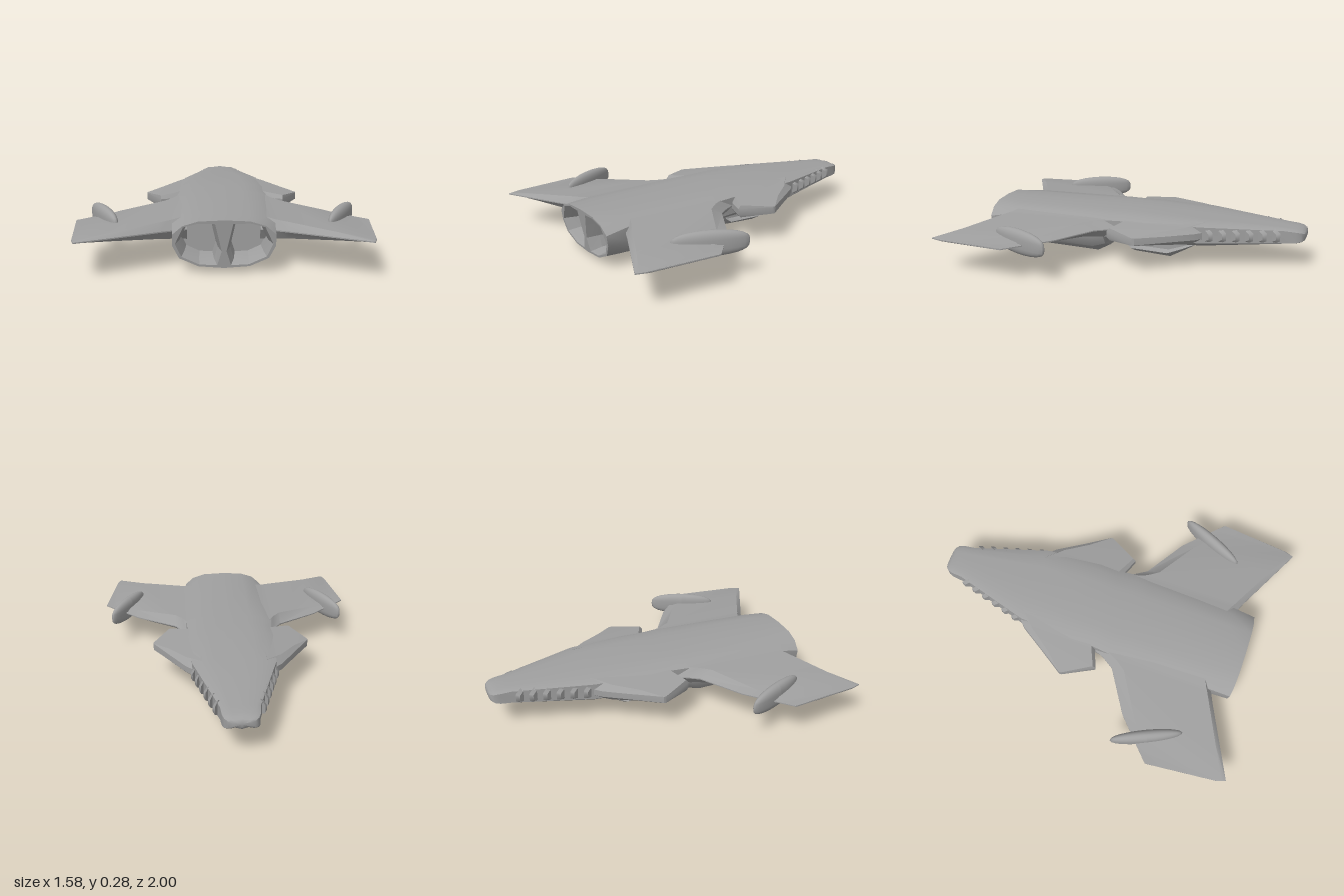
import * as THREE from 'three';
import { toCreasedNormals } from 'three/addons/utils/BufferGeometryUtils.js';

const material = new THREE.MeshStandardMaterial({ color: 0x9f9f9f });

// Skin a row of closed rings; flip turns the faces over.
function loft(rings, { flip = false, startCap = true, endCap = true, crease = 0.5 } = {}) {
  const pos = [];
  const tri = (a, b, c) => pos.push(...a, ...(flip ? c : b), ...(flip ? b : c));
  const n = rings[0].length;
  const centre = (r) => [0, 1, 2].map((k) => r.reduce((sum, p) => sum + p[k], 0) / n);
  for (let i = 0; i < rings.length - 1; i++) {
    for (let j = 0; j < n; j++) {
      const k = (j + 1) % n;
      tri(rings[i][j], rings[i][k], rings[i + 1][k]);
      tri(rings[i][j], rings[i + 1][k], rings[i + 1][j]);
    }
  }
  const first = rings[0], last = rings[rings.length - 1];
  for (let j = 0; j < n; j++) {
    const k = (j + 1) % n;
    if (startCap) tri(centre(first), first[k], first[j]);
    if (endCap) tri(centre(last), last[j], last[k]);
  }
  const g = new THREE.BufferGeometry();
  g.setAttribute('position', new THREE.Float32BufferAttribute(pos, 3));
  return toCreasedNormals(g, crease);
}

// Mirror a half outline, listed from the bottom centre to the top centre.
const mirrored = (half) => [...half, ...half.slice(1, -1).reverse().map(([x, y]) => [-x, y])];

// Hull outline from half width, top, side edge heights and bottom.
const hullOutline = (w, top, edgeTop, edgeBot, bot) => mirrored([
  [0, bot], [0.5 * w, bot + 0.01], [0.87 * w, bot + 0.45 * (edgeBot - bot)], [w, edgeBot],
  [w, edgeTop], [0.8 * w, edgeTop + 0.6 * (top - edgeTop)], [0.5 * w, top - 0.006], [0, top],
]);

// The tail face leans back towards the top.
const tailZ = (y) => 0.875 + (y - 0.15) * 0.12;

// Wing panel from stations [x, lead z, trail z, top, bottom].
function wingPanel(stations, s, edge) {
  const rings = stations.map(([x, lead, trail, top, bot]) => {
    const at = (t) => lead + (trail - lead) * t;
    return [
      [0, 0.2 - edge], [0, 0.2 + edge], [0.12, top], [0.95, top],
      [1, 0.2 + edge], [1, 0.2 - edge], [0.95, bot], [0.12, bot],
    ].map(([t, y]) => [s * x, y, at(t)]);
  });
  return loft(rings, { flip: s < 0 });
}

export function createModel() {
  const model = new THREE.Group();
  const add = (name, geometry) => {
    const mesh = new THREE.Mesh(geometry, material);
    mesh.name = name;
    model.add(mesh);
    return mesh;
  };

  // Hull, nose to tail: z, half width, top, edge top, edge bottom, bottom
  const hull = [
    [-1.0, 0.045, 0.215, 0.208, 0.192, 0.185],
    [-0.993, 0.068, 0.227, 0.216, 0.18, 0.171],
    [-0.975, 0.087, 0.235, 0.222, 0.17, 0.162],
    [-0.945, 0.097, 0.241, 0.227, 0.164, 0.156],
    [-0.88, 0.103, 0.246, 0.232, 0.16, 0.148],
    [-0.43, 0.235, 0.272, 0.25, 0.155, 0.115],
    [-0.1, 0.26, 0.285, 0.25, 0.15, 0.105],
    [0.03, 0.255, 0.285, 0.25, 0.15, 0.103],
    [0.13, 0.265, 0.285, 0.25, 0.15, 0.1],
    [0.15, 0.265, 0.285, 0.25, 0.15, 0.05],
    [0.23, 0.265, 0.285, 0.248, 0.15, 0.006],
    [0.75, 0.265, 0.285, 0.235, 0.15, 0.025],
  ];
  const tail = hullOutline(0.26, 0.285, 0.21, 0.15, 0.03);
  const hullRings = hull.map(([z, ...o]) => hullOutline(...o).map(([x, y]) => [x, y, z]));
  hullRings.push(tail.map(([x, y]) => [x, y, tailZ(y)]));
  add('hull', loft(hullRings, { endCap: false, crease: 0.7 }));

  // Tail plate with two eight-sided openings, leaving a wedge between them
  const opening = [
    [0.246, 0.16], [0.205, 0.248], [0.13, 0.268], [0.045, 0.265],
    [0.012, 0.12], [0.035, 0.045], [0.125, 0.05], [0.215, 0.092],
  ];
  const nozzleRing = (s, scale) => opening.map(([x, y]) => [
    s * (0.133 + (x - 0.133) * scale), 0.155 + (y - 0.155) * scale]);
  const toPoints = (list) => list.map(([x, y]) => new THREE.Vector2(x, y));
  const plate = new THREE.Shape(toPoints(tail));
  for (const s of [1, -1]) plate.holes.push(new THREE.Path(toPoints(nozzleRing(s, 1))));
  const plateGeometry = new THREE.ShapeGeometry(plate);
  const p = plateGeometry.attributes.position;
  for (let i = 0; i < p.count; i++) p.setZ(i, tailZ(p.getY(i)));
  plateGeometry.computeVertexNormals();
  add('tailPlate', plateGeometry);

  // Chin pod with waisted sides: z, width scale, bottom
  const pod = [
    [-0.42, 0.45, 0.114], [-0.37, 0.72, 0.092], [-0.3, 0.9, 0.056], [-0.22, 1, 0.015],
    [0, 1, 0.03], [0.03, 0.96, 0.06], [0.045, 0.94, 0.1],
  ];
  add('chinPod', loft(pod.map(([z, w, bot]) => {
    const at = (t) => bot + (0.14 - bot) * t;
    return mirrored([
      [0, bot], [0.12 * w, bot + 0.003], [0.19 * w, at(0.35)], [0.155 * w, at(0.45)],
      [0.155 * w, at(0.75)], [0.21 * w, at(0.95)], [0, 0.16],
    ]).map(([x, y]) => [x, y, z]);
  })));

  for (const s of [1, -1]) {
    const side = s > 0 ? 'left' : 'right';

    // Recessed engine nozzle
    add(side + 'Nozzle', loft([
      nozzleRing(s, 0.76).map(([x, y]) => [x, y, 0.7]),
      nozzleRing(s, 0.84).map(([x, y]) => [x, y, 0.8]),
      nozzleRing(s, 1).map(([x, y]) => [x, y, tailZ(y)]),
    ], { flip: s > 0, endCap: false, crease: 0.2 }));

    // Main wing
    add(side + 'Wing', wingPanel([
      [0.19, -0.03, 0.74, 0.266, 0.14], [0.265, 0.06, 0.77, 0.252, 0.15],
      [0.285, 0.11, 0.78, 0.25, 0.152],
      [0.33, 0.18, 0.8, 0.246, 0.158], [0.57, 0.33, 0.92, 0.222, 0.18],
      [0.73, 0.482, 1.0, 0.207, 0.193], [0.747, 0.498, 0.95, 0.206, 0.194],
      [0.79, 0.54, 0.555, 0.204, 0.196],
    ], s, 0.003));

    // Forewing
    add(side + 'Forewing', wingPanel([
      [0.18, -0.5, 0.02, 0.266, 0.14], [0.235, -0.435, 0.04, 0.255, 0.148],
      [0.27, -0.4, 0.053, 0.25, 0.152], [0.365, -0.25, 0.09, 0.238, 0.165],
      [0.46, -0.105, -0.09, 0.222, 0.18],
    ], s, 0.018));

    // Wing pod, a lens in plan with squared-off height
    const podGeometry = new THREE.SphereGeometry(1, 24, 16);
    const v = podGeometry.attributes.position;
    for (let i = 0; i < v.count; i++) {
      const y = v.getY(i);
      v.setXYZ(i, v.getX(i) * 0.035, Math.sign(y) * Math.abs(y) ** 0.65 * 0.071, v.getZ(i) * 0.21);
    }
    podGeometry.computeVertexNormals();
    const wingPod = add(side + 'WingPod', podGeometry);
    wingPod.position.set(s * 0.645, 0.204, 0.5);
    wingPod.rotation.y = -s * 0.44;

    // Row of slanted gill plates along the nose
    for (let i = 0; i < 6; i++) {
      const z = -0.825 + i * 0.073;
      const gill = add(side + 'Gill', new THREE.CylinderGeometry(0.03, 0.045, 0.02, 6)
        .rotateX(Math.PI / 2).rotateY(s * 1.0));
      gill.position.set(s * (0.1 + (z + 0.88) * 0.289), 0.2, z);
    }
  }
  return model;
}
